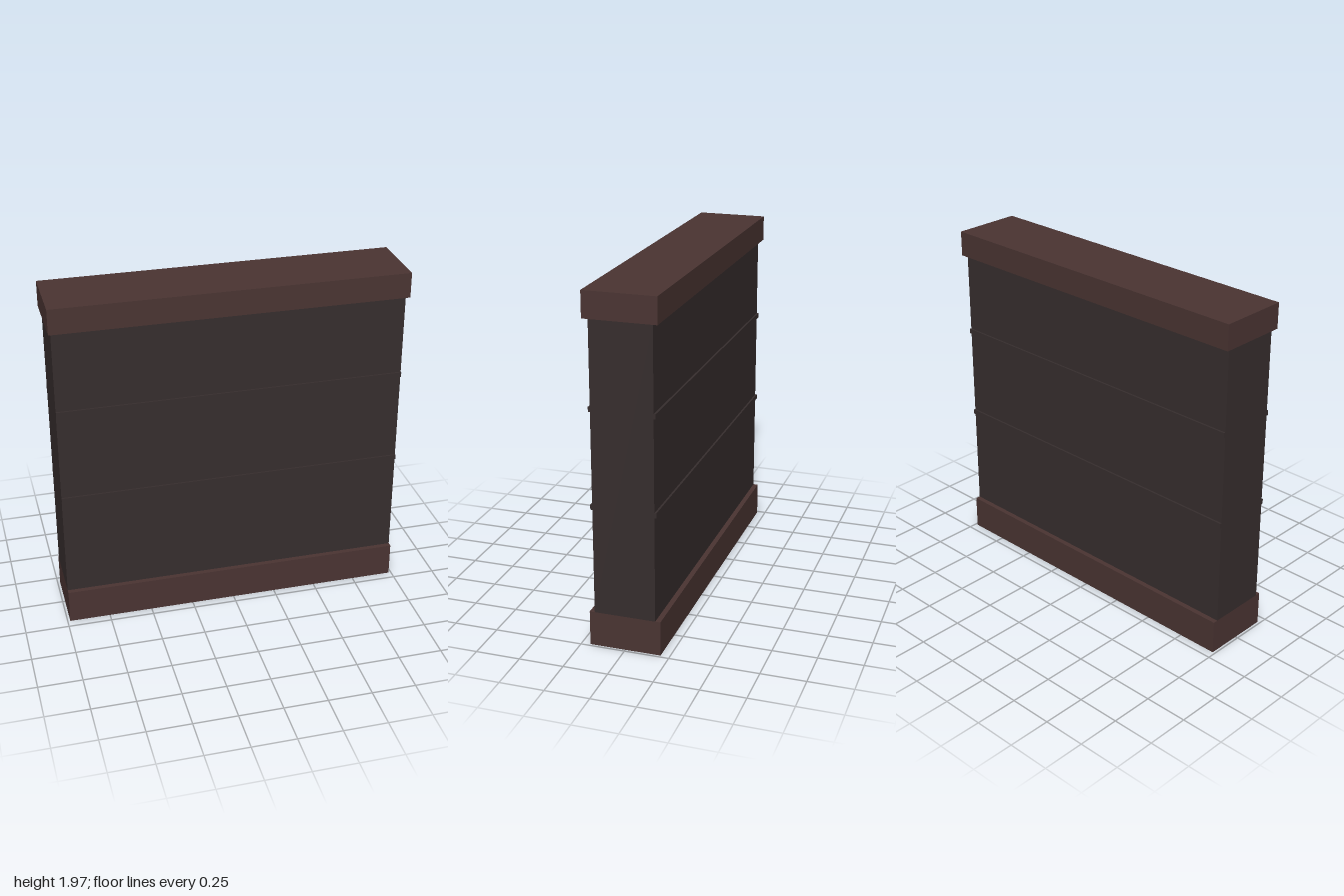
import * as THREE from 'three';

export function createModel() {
  const model = new THREE.Group();
  model.name = 'wallSection';

  const brown = new THREE.MeshStandardMaterial({ color: 0x4a3432 });
  brown.name = 'reddish brown';
  brown.side = THREE.DoubleSide; // the plinth is an open shell
  const dark = new THREE.MeshStandardMaterial({ color: 0x362d2d });
  dark.name = 'dark charcoal';

  // Box spanning y0..y1, centred on x and z = z0
  const addBox = (name, material, w, y0, y1, d, z0 = 0) => {
    const mesh = new THREE.Mesh(new THREE.BoxGeometry(w, y1 - y0, d), material);
    mesh.position.set(0, (y0 + y1) / 2, z0);
    mesh.name = name;
    model.add(mesh);
    return mesh;
  };

  // Plinth: hollow, with the bottom face removed
  const plinth = addBox('plinth', brown, 1.97, 0, 0.198, 0.4);
  const index = Array.from(plinth.geometry.index.array);
  index.splice(18, 6);
  plinth.geometry.setIndex(index);
  plinth.geometry.clearGroups();

  // Main panel and the cap on top
  addBox('panel', dark, 1.97, 0.198, 1.829, 0.342);
  addBox('cap', brown, 2, 1.829, 1.974, 0.4);

  // Dark underside of the panel, seen inside the plinth
  addBox('panelUnderside', dark, 1.7, 0.194, 0.198, 0.32);

  // Thin horizontal battens on both faces
  for (const y of [0.795, 1.335]) {
    for (const side of [1, -1]) {
      addBox(side > 0 ? 'frontBatten' : 'backBatten', dark, 1.97, y, y + 0.028, 0.02, side * 0.172);
    }
  }

  return model;
}
